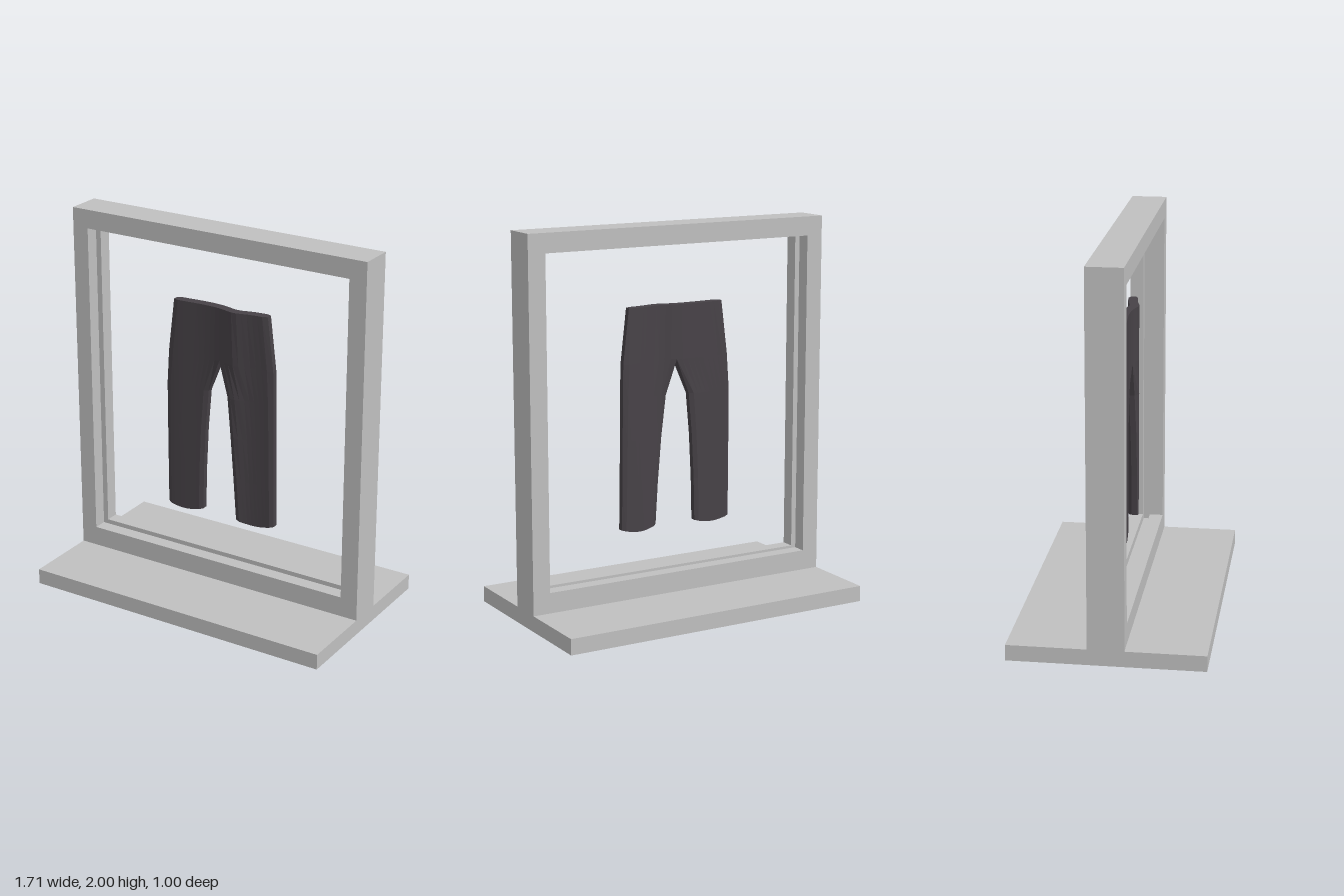
import * as THREE from 'three';

const silver = new THREE.MeshStandardMaterial({ color: 0xc0c0c0 });
silver.name = 'silver frame';
const charcoal = new THREE.MeshStandardMaterial({ color: 0x474247 });
charcoal.name = 'charcoal cloth';

const W = 0.857, BASE_H = 0.083, FRAME_D = 0.093, GROOVE = 0.02;

function add(parent, name, geometry, material) {
  const mesh = new THREE.Mesh(geometry, material);
  mesh.name = name;
  parent.add(mesh);
  return mesh;
}

// Rectangular frame slab from z0 to z1; inset widens the opening
function frameSlab(z0, z1, inset) {
  const shape = new THREE.Shape([
    new THREE.Vector2(-W, BASE_H), new THREE.Vector2(W, BASE_H),
    new THREE.Vector2(W, 2), new THREE.Vector2(-W, 2),
  ]);
  const l = -0.767 - inset, r = 0.763 + inset, b = 0.19 - inset, t = 1.9 + inset;
  shape.holes.push(new THREE.Path([
    new THREE.Vector2(l, b), new THREE.Vector2(l, t),
    new THREE.Vector2(r, t), new THREE.Vector2(r, b),
  ]));
  return new THREE.ExtrudeGeometry(shape, { depth: z1 - z0, bevelEnabled: false }).translate(0, 0, z0);
}

// Gentle folds in the hanging cloth
const fold = (x) => 0.018 * Math.exp(-(((x - 0.08) / 0.06) ** 2)) + 0.005 * Math.sin(16 * x) - 0.004;

// Half of the trousers: rows of [y, left x, right x] from waist to hem.
// seam is the column at the middle of the garment (0 or COLS).
const COLS = 10;
function trouserHalf(rows, seam) {
  const ring = 2 * (COLS + 1), pos = [], idx = [];
  rows.forEach(([y, a, b], r) => {
    for (let k = 0; k < ring; k++) {
      const front = k <= COLS;
      const c = front ? k : ring - 1 - k;
      const x = a + (b - a) * c / COLS;
      const isEdge = (c === 0 || c === COLS) && !(c === seam && r < 2);
      const half = isEdge ? 0.015 : 0.025;
      const droop = r === rows.length - 1 ? 0.018 * Math.sin(Math.PI * c / COLS) : 0;
      pos.push(x, y - droop, fold(x) + (front ? half : -half));
    }
  });
  // Sides between rows
  for (let r = 0; r < rows.length - 1; r++) {
    for (let k = 0; k < ring; k++) {
      const i = r * ring + k, j = r * ring + (k + 1) % ring;
      idx.push(i, i + ring, j + ring, i, j + ring, j);
    }
  }
  // Waist and hem caps
  const last = (rows.length - 1) * ring;
  for (let c = 0; c < COLS; c++) {
    const f = c, g = c + 1, p = ring - 1 - c, q = p - 1;
    idx.push(f, g, q, f, q, p);
    idx.push(last + f, last + q, last + g, last + f, last + p, last + q);
  }
  const geo = new THREE.BufferGeometry();
  geo.setAttribute('position', new THREE.Float32BufferAttribute(pos, 3));
  geo.setIndex(idx);
  const flat = geo.toNonIndexed();
  flat.computeVertexNormals();
  return flat;
}

export function createModel() {
  const model = new THREE.Group();
  model.name = 'framedTrousers';

  // Base plate
  add(model, 'base', new THREE.BoxGeometry(2 * W, BASE_H, 1), silver).position.y = BASE_H / 2;

  // Frame with a groove running round the inside
  const frame = new THREE.Group();
  frame.name = 'frame';
  model.add(frame);
  add(frame, 'frontRim', frameSlab(GROOVE, FRAME_D, 0), silver);
  add(frame, 'grooveCore', frameSlab(-GROOVE, GROOVE, 0.04), silver);
  add(frame, 'backRim', frameSlab(-FRAME_D, -GROOVE, 0), silver);

  // Trousers hanging in the opening
  const trousers = new THREE.Group();
  trousers.name = 'trousers';
  model.add(trousers);
  add(trousers, 'rightLeg', trouserHalf([
    [1.585, -0.288, -0.012], [1.3, -0.323, -0.012], [1.115, -0.335, -0.086],
    [0.9, -0.335, -0.105], [0.66, -0.334, -0.117], [0.433, -0.333, -0.122],
  ], COLS), charcoal);
  add(trousers, 'leftLeg', trouserHalf([
    [1.585, -0.012, 0.265], [1.3, -0.012, 0.299], [1.115, 0.04, 0.303],
    [0.9, 0.063, 0.305], [0.66, 0.083, 0.308], [0.435, 0.098, 0.312],
  ], 0), charcoal);

  return model;
}
